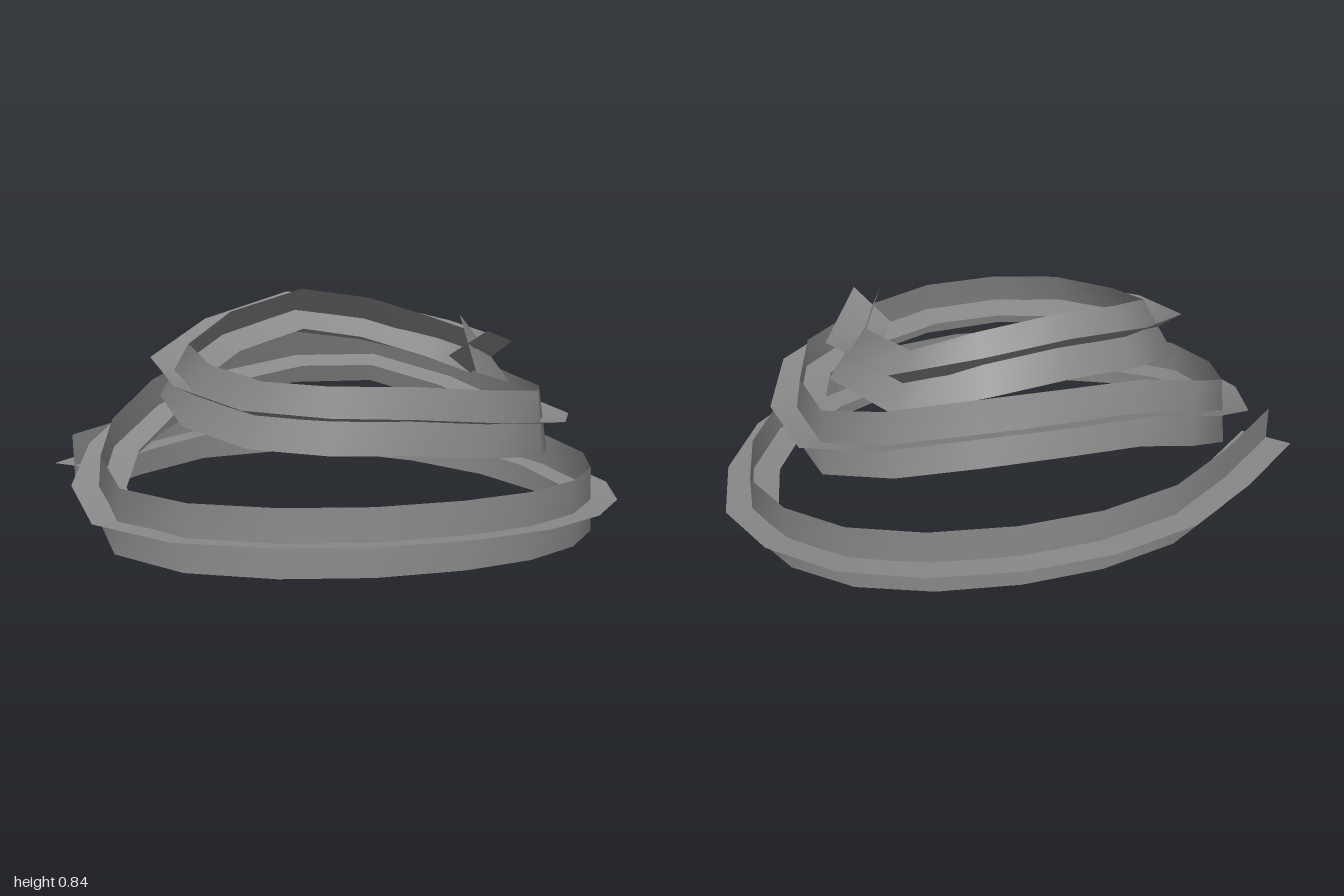
import * as THREE from 'three';

// Control points of the spiral: x, y, z and inward lean in degrees
const SPIRAL = [
  [-0.92, 0.21, -0.30, 0], [-0.37, 0.255, -0.74, 0], [0.20, 0.245, -0.79, 0], [0.70, 0.18, -0.52, 0],
  [0.91, 0.115, -0.01, 0], [0.68, 0.11, 0.51, 1], [0.20, 0.115, 0.79, 3], [-0.41, 0.115, 0.76, 3],
  [-0.87, 0.14, 0.40, 1], [-0.79, 0.29, -0.20, 6], [-0.35, 0.51, -0.48, 18], [0.25, 0.555, -0.51, 20],
  [0.68, 0.40, -0.13, 8], [0.59, 0.41, 0.41, 7], [0.07, 0.465, 0.60, 11], [-0.42, 0.485, 0.47, 17],
  [-0.60, 0.58, -0.03, 30], [-0.09, 0.745, -0.36, 42], [0.42, 0.64, -0.24, 40],
];
// Sharp hook at the top end; the last point only steers the end cut
const HOOK = [[0.52, 0.605, 0.09, 36], [0.37, 0.68, 0.285, 32], [0.17, 0.70, 0.29, 32]];

const toPoint = ([x, y, z]) => new THREE.Vector3(x, y, z);

// Cross-section axes along the path, two straight pieces per control segment
function makeFrames() {
  const curve = new THREE.CatmullRomCurve3(SPIRAL.map(toPoint), false, 'catmullrom', 0.5);
  const steps = (SPIRAL.length - 1) * 2;
  const points = [...curve.getPoints(steps), ...HOOK.map(toPoint)];
  const leans = [];
  for (let i = 0; i <= steps; i++) {
    leans.push((SPIRAL[Math.floor(i / 2)][3] + SPIRAL[Math.ceil(i / 2)][3]) / 2);
  }
  leans.push(...HOOK.map((p) => p[3]));

  return points.slice(0, -1).map((center, i) => {
    const tangent = points[i + 1].clone().sub(points[Math.max(i - 1, 0)]).normalize();
    const out = new THREE.Vector3(tangent.z, 0, -tangent.x).normalize();
    const up = tangent.clone().cross(out);
    // Lean the top inward and lift the outer edge
    const lean = THREE.MathUtils.degToRad(leans[i]);
    const c = Math.cos(lean), s = Math.sin(lean);
    return {
      center,
      up: up.clone().multiplyScalar(c).addScaledVector(out, -s),
      out: out.clone().multiplyScalar(c).addScaledVector(up, s),
    };
  });
}

// Flat band swept along the path, spread along one cross-section axis
function makeBand(frames, axis, halfWidth, material, name) {
  const positions = [], index = [];
  frames.forEach((f, i) => {
    for (const side of [-1, 1]) {
      positions.push(...f.center.clone().addScaledVector(f[axis], side * halfWidth).toArray());
    }
    if (i > 0) {
      const a = (i - 1) * 2;
      index.push(a, a + 2, a + 1, a + 1, a + 2, a + 3);
    }
  });
  const geometry = new THREE.BufferGeometry();
  geometry.setAttribute('position', new THREE.Float32BufferAttribute(positions, 3));
  geometry.setIndex(index);
  geometry.computeVertexNormals();
  const mesh = new THREE.Mesh(geometry, material);
  mesh.name = name;
  return mesh;
}

export function createModel() {
  const grey = new THREE.MeshStandardMaterial({ color: 0x888888, side: THREE.DoubleSide });
  grey.name = 'grey';

  const group = new THREE.Group();
  group.name = 'spiralRibbon';
  const frames = makeFrames();
  // Two bands crossing at right angles along the spiral
  group.add(makeBand(frames, 'up', 0.114, grey, 'uprightBand'));
  group.add(makeBand(frames, 'out', 0.094, grey, 'flatBand'));
  return group;
}
